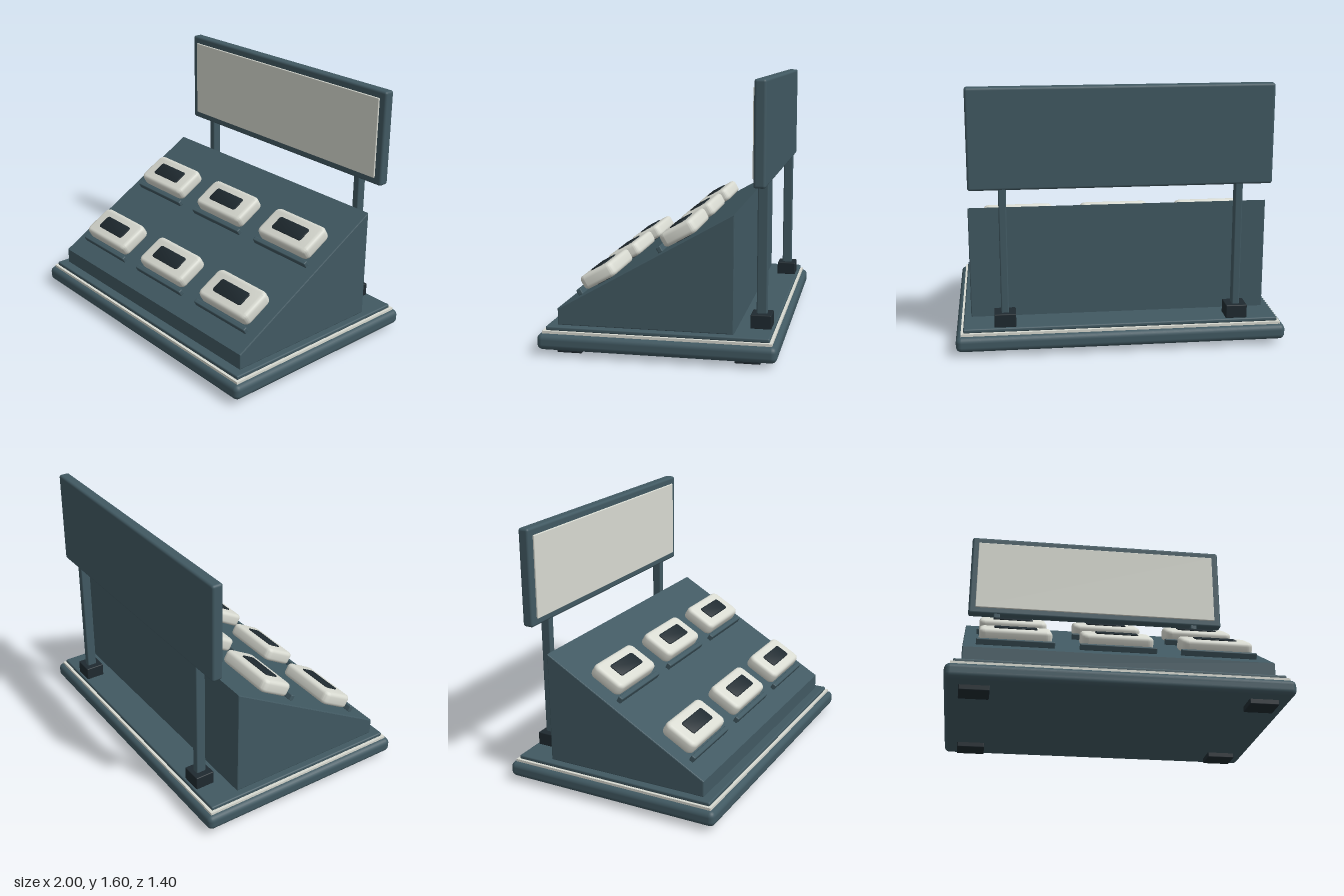
import * as THREE from 'three';
import { toCreasedNormals } from 'three/addons/utils/BufferGeometryUtils.js';
import { RoundedBoxGeometry } from 'three/addons/geometries/RoundedBoxGeometry.js';

const material = (name, color) => {
  const m = new THREE.MeshStandardMaterial({ color });
  m.name = name;
  return m;
};

// Rounded rectangle outline centred on the origin
function roundedRect(w, h, r) {
  const x = w / 2, y = h / 2, s = new THREE.Shape();
  s.moveTo(-x + r, -y);
  s.lineTo(x - r, -y).absarc(x - r, -y + r, r, -Math.PI / 2, 0);
  s.lineTo(x, y - r).absarc(x - r, y - r, r, 0, Math.PI / 2);
  s.lineTo(-x + r, y).absarc(-x + r, y - r, r, Math.PI / 2, Math.PI);
  s.lineTo(-x, -y + r).absarc(-x + r, -y + r, r, Math.PI, Math.PI * 1.5);
  return s;
}

// Flat-lying pillow slab with softened edges, centred on the origin
function softSlab(w, t, d, r, bevel) {
  const g = new THREE.ExtrudeGeometry(roundedRect(w, d, r), {
    depth: t - 2 * bevel, curveSegments: 6, bevelEnabled: true,
    bevelSize: bevel, bevelThickness: bevel, bevelOffset: -bevel, bevelSegments: 4,
  });
  g.rotateX(-Math.PI / 2);
  g.center();
  return toCreasedNormals(g, 0.6);
}

export function createModel() {
  const model = new THREE.Group();
  model.name = 'displayStand';
  const teal = material('slate teal', 0x415962);
  const cream = material('warm cream', 0xd8dad1);
  const dark = material('near black', 0x1f2a30);

  function add(parent, name, geometry, mat, x = 0, y = 0, z = 0) {
    const mesh = new THREE.Mesh(geometry, mat);
    mesh.name = name;
    mesh.position.set(x, y, z);
    parent.add(mesh);
    return mesh;
  }
  const rounded = (w, h, d, r) => new RoundedBoxGeometry(w, h, d, 3, r);

  // Stepped base
  add(model, 'base', rounded(2, 0.095, 1.4, 0.034), teal, 0, 0.0785);
  add(model, 'baseTrim', new THREE.BoxGeometry(1.94, 0.02, 1.34), cream, 0, 0.131);
  add(model, 'basePlate', rounded(1.91, 0.026, 1.31, 0.009), teal, 0, 0.152);
  for (const x of [-0.83, 0.83]) {
    for (const z of [-0.525, 0.525]) {
      add(model, 'foot', rounded(0.175, 0.04, 0.15, 0.006), dark, x, 0.02, z);
    }
  }

  // Sloped display wedge
  const front = 0.595, back = -0.445, low = 0.262, high = 0.855;
  const profile = new THREE.Shape([
    [back, 0.163], [front, 0.163], [front, low], [back, high],
  ].map(([z, y]) => new THREE.Vector2(z, y)));
  const b = 0.006;
  const wedge = new THREE.ExtrudeGeometry(profile, {
    depth: 1.82 - 2 * b, bevelEnabled: true, bevelSize: b,
    bevelThickness: b, bevelOffset: -b, bevelSegments: 2,
  });
  wedge.translate(0, 0, -0.91 + b);
  wedge.rotateY(-Math.PI / 2);
  add(model, 'wedge', wedge, teal);

  // Six tilted devices, each on a riser behind a retaining lip
  const rise = (high - low) / (front - back);
  const deviceBody = softSlab(0.43, 0.085, 0.225, 0.04, 0.024);
  const deviceScreen = softSlab(0.254, 0.008, 0.098, 0.016, 0.002);
  const lip = rounded(0.46, 0.04, 0.03, 0.007);
  const riser = rounded(0.3, 0.03, 0.09, 0.004);
  for (const z of [-0.125, 0.355]) {
    for (const x of [-0.605, 0, 0.605]) {
      const device = new THREE.Group();
      device.name = 'device';
      device.position.set(x, low + (front - z) * rise, z);
      device.rotation.x = Math.atan(rise);
      add(device, 'deviceRiser', riser, dark, 0, 0, 0);
      add(device, 'deviceBody', deviceBody, cream, 0, 0.048, 0);
      add(device, 'deviceScreen', deviceScreen, dark, 0, 0.0925, 0);
      add(device, 'retainingLip', lip, teal, 0, 0.017, 0.137);
      model.add(device);
    }
  }

  // Sign board on two posts
  const signZ = -0.58;
  for (const x of [-0.703, 0.703]) {
    add(model, 'postSocket', rounded(0.13, 0.085, 0.122, 0.006), dark, x, 0.204, signZ);
    add(model, 'signPost', rounded(0.046, 0.86, 0.062, 0.008), teal, x, 0.6, signZ);
  }
  add(model, 'signBoard', rounded(1.805, 0.602, 0.07, 0.016), teal, 0, 1.3, signZ);
  add(model, 'signPanel', rounded(1.71, 0.51, 0.02, 0.004), cream, 0, 1.3, -0.545);

  return model;
}
